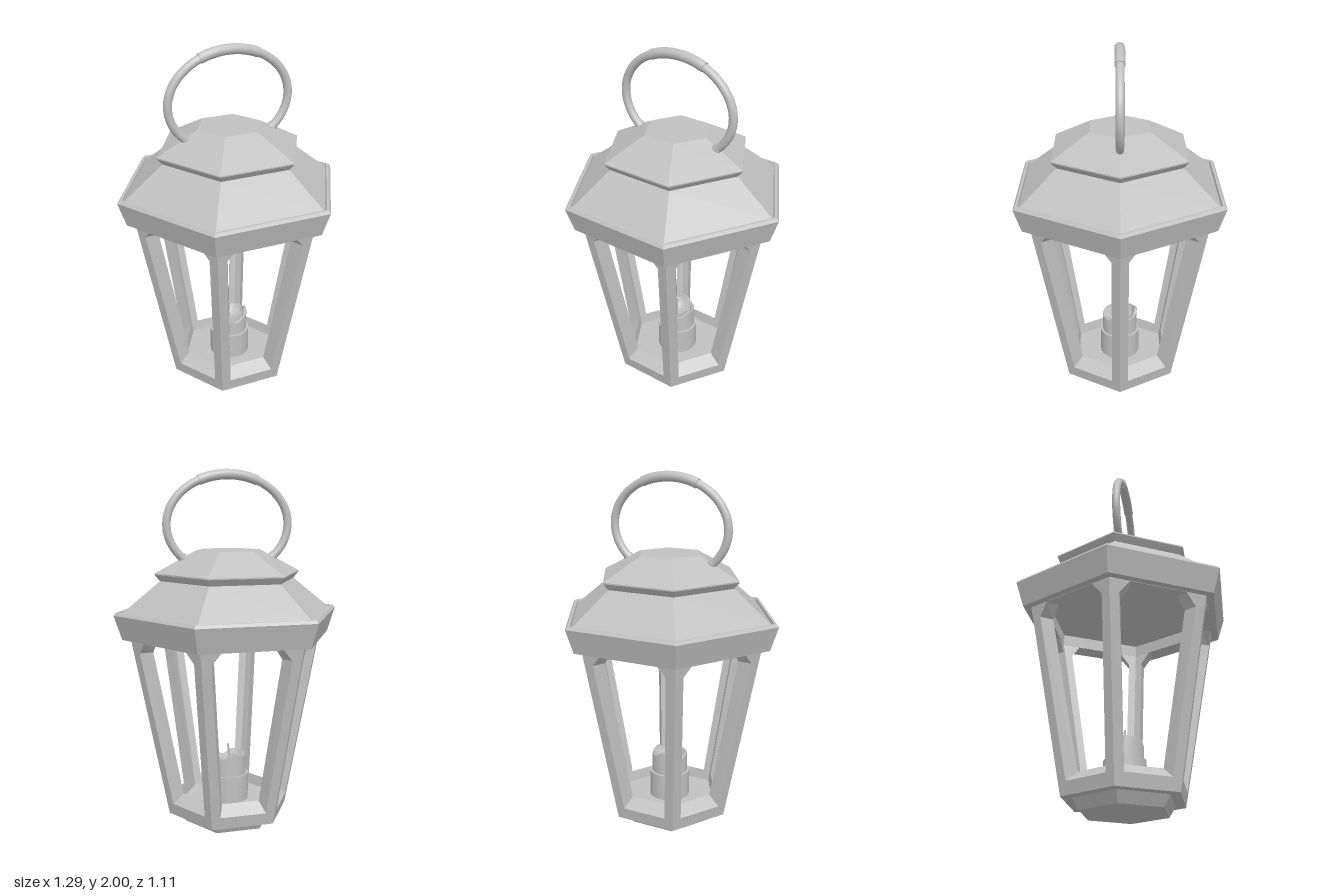
import * as THREE from 'three';

const metal = new THREE.MeshStandardMaterial({ color: 0xc0c0c0 });
metal.name = 'light grey';

const ROOT3_2 = Math.sqrt(3) / 2;

function add(parent, name, geometry) {
  const mesh = new THREE.Mesh(geometry, metal);
  mesh.name = name;
  parent.add(mesh);
  return mesh;
}

function flat(geometry) {
  const g = geometry.index ? geometry.toNonIndexed() : geometry;
  g.computeVertexNormals();
  return g;
}

// Six-sided solid with corners on the x axis, from [radius, height] pairs
function hexLathe(profile) {
  const pts = profile.map(([r, y]) => new THREE.Vector2(r, y));
  return flat(new THREE.LatheGeometry(pts, 6, Math.PI / 2));
}

// One leaning window frame: outer face, bevelled opening and inner face
function framePanel() {
  const depth = 0.08, margin = 0.052;
  const radius = (y) => 0.35 + 0.2 * (y - 0.06) / 1.02;
  const outer = (t, y, inset = 0) => [t * (radius(y) / 2 - inset), y, radius(y) * ROOT3_2];
  const inner = (t, y, inset = 0, rise = 0) => {
    const R = radius(y + rise), k = (R - depth) / R;
    return [t * (R / 2 - inset) * k, y + rise, R * ROOT3_2 * k];
  };
  // side, outline height, opening height, opening inset, sill rise
  const corners = [
    [-1, 0.06, 0.13, margin, 0.055], [1, 0.06, 0.13, margin, 0.055],
    [1, 1.01, 1.015, margin, 0], [1, 1.1, 1.083, 0.115, 0],
    [-1, 1.1, 1.083, 0.115, 0], [-1, 1.01, 1.015, margin, 0],
  ];
  const loops = [
    corners.map(([t, y]) => outer(t, y)),
    corners.map(([t, , y, m]) => outer(t, y, m)),
    corners.map(([t, , y, m, rise]) => inner(t, y, m, rise)),
    corners.map(([t, y]) => inner(t, y)),
  ];
  const pos = [];
  for (let l = 0; l < 3; l++) {
    for (let i = 0; i < 6; i++) {
      const j = (i + 1) % 6;
      const a = loops[l][i], b = loops[l][j], c = loops[l + 1][j], d = loops[l + 1][i];
      pos.push(...a, ...b, ...c, ...a, ...c, ...d);
    }
  }
  const g = new THREE.BufferGeometry();
  g.setAttribute('position', new THREE.Float32BufferAttribute(pos, 3));
  return flat(g);
}

// Arc of the elliptical carrying ring, between two angles in degrees
class RingArc extends THREE.Curve {
  constructor(from, to) {
    super();
    this.from = from;
    this.to = to;
  }
  getPoint(t, target = new THREE.Vector3()) {
    const a = THREE.MathUtils.degToRad(this.from + (this.to - this.from) * t);
    return target.set(0.345 * Math.cos(a), 1.702 + 0.27 * Math.sin(a), 0);
  }
}

// Tube with closed ends along a ring arc
function ringTube(group, name, from, to, r, steps) {
  const curve = new RingArc(from, to);
  add(group, name, new THREE.TubeGeometry(curve, steps, r, 16));
  [0, 1].forEach((t) => {
    const cap = add(group, name + 'End', new THREE.CircleGeometry(r, 16));
    const dir = curve.getTangent(t).multiplyScalar(t ? 1 : -1);
    cap.position.copy(curve.getPoint(t));
    cap.quaternion.setFromUnitVectors(new THREE.Vector3(0, 0, 1), dir);
  });
}

export function createModel() {
  const model = new THREE.Group();
  model.name = 'lantern';

  // Foot and floor
  add(model, 'base', hexLathe([[0, 0], [0.25, 0], [0.288, 0.06], [0.35, 0.06], [0.285, 0.125], [0, 0.125]]));

  // Six window frames
  const frames = new THREE.Group();
  frames.name = 'windowFrames';
  const panel = framePanel();
  for (let i = 0; i < 6; i++) add(frames, 'windowFrame', panel).rotation.y = i * Math.PI / 3;
  model.add(frames);

  // Skirt with raised lip, recessed ceiling and main roof
  add(model, 'roof', hexLathe([
    [0, 1.15], [0.47, 1.15], [0.47, 1.085], [0.598, 1.085], [0.643, 1.22], [0.63, 1.236],
    [0.615, 1.236], [0.61, 1.22], [0.385, 1.4], [0, 1.4],
  ]));

  // Upper cap
  add(model, 'roofCap', hexLathe([[0, 1.4], [0.385, 1.4], [0.415, 1.435], [0.415, 1.442], [0.185, 1.563], [0, 1.563]]));

  // Carrying ring with grip and end sleeves
  const handle = new THREE.Group();
  handle.name = 'handle';
  ringTube(handle, 'handleRing', -46, 226, 0.023, 64);
  ringTube(handle, 'handleGrip', 61.5, 118.5, 0.028, 20);
  ringTube(handle, 'rightSleeve', -47, -40, 0.028, 4);
  ringTube(handle, 'leftSleeve', 220, 227, 0.028, 4);
  model.add(handle);

  // Candle holder
  const candle = new THREE.Group();
  candle.name = 'candle';
  add(candle, 'candleHolder', new THREE.CylinderGeometry(0.115, 0.115, 0.155, 32)).position.y = 0.2;

  // Candle with a melted, uneven rim around a hollow
  const profile = [[0.102, 0.13], [0.102, 0.38], [0.096, 0.388], [0.084, 0.386], [0.074, 0.35], [0, 0.34]];
  const wax = new THREE.LatheGeometry(profile.map(([r, y]) => new THREE.Vector2(r, y)), 40);
  const p = wax.attributes.position;
  for (let i = 0; i < p.count; i++) {
    if (p.getY(i) < 0.36) continue;
    const a = Math.atan2(p.getZ(i), p.getX(i));
    p.setY(i, p.getY(i) + 0.013 * Math.sin(3 * a + 0.6) - 0.012 * Math.sin(a) + 0.006 * Math.sin(7 * a));
  }
  wax.computeVertexNormals();
  add(candle, 'wax', wax);

  // Wick
  const wick = new THREE.CatmullRomCurve3([
    new THREE.Vector3(0, 0.33, 0), new THREE.Vector3(-0.004, 0.39, 0), new THREE.Vector3(0.002, 0.45, 0),
  ]);
  add(candle, 'wick', new THREE.TubeGeometry(wick, 8, 0.006, 8));
  model.add(candle);

  return model;
}
